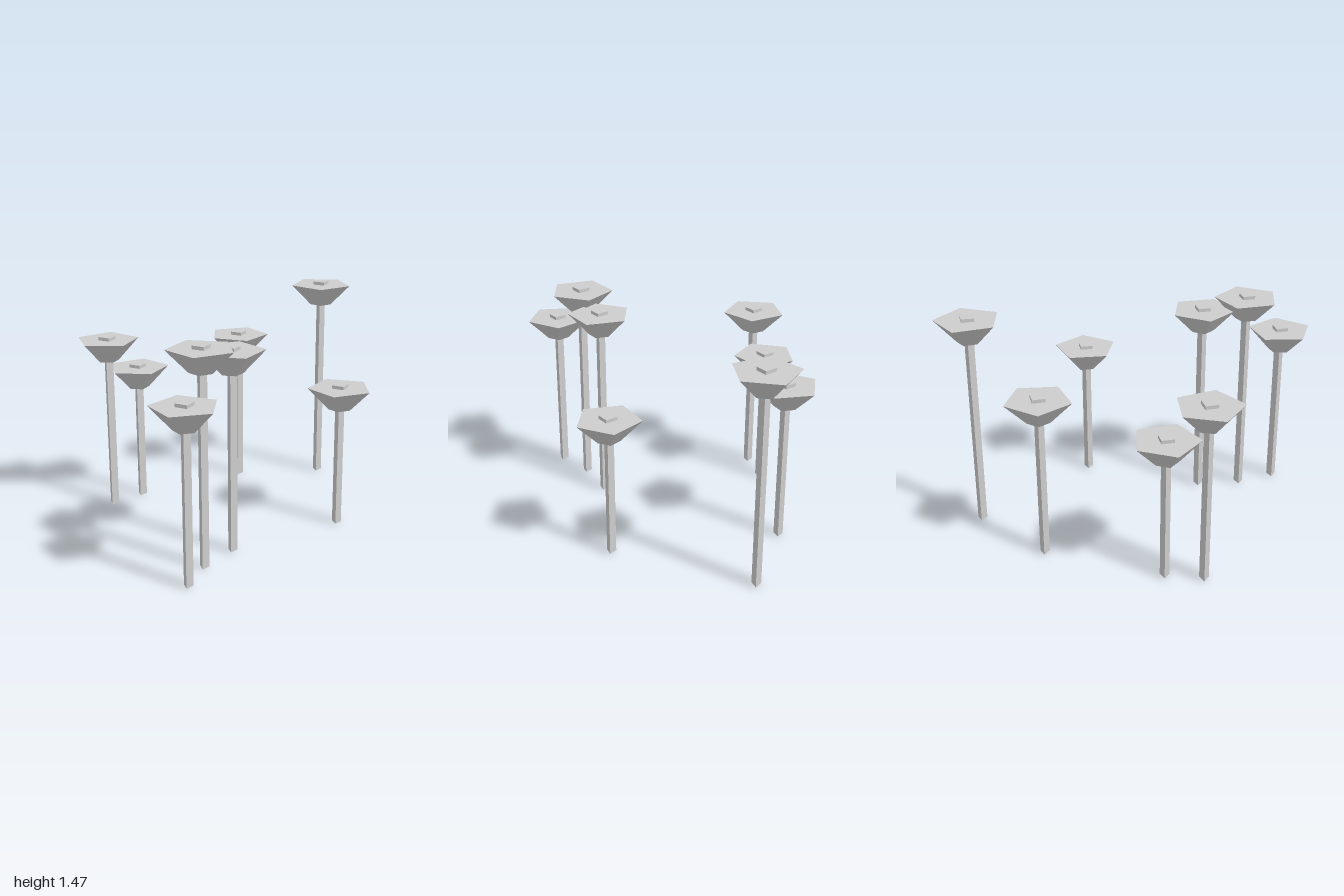
import * as THREE from 'three';

// x, z, rim height, turn of the head in degrees
const POSTS = [
  [-0.81, -0.56, 1.195, 18],
  [-0.585, -0.66, 0.957, 12.5],
  [0.205, -0.83, 1.09, 0],
  [0.80, -0.72, 1.443, 50.5],
  [0.565, 0.235, 0.957, 38.7],
  [-0.238, 0.435, 1.33, 6],
  [-0.475, 0.608, 1.404, 44.7],
  [-0.635, 0.82, 1.135, 33],
];
const HEAD_HEIGHT = 0.145, CAP_HEIGHT = 0.022;

export function createModel() {
  const grey = new THREE.MeshStandardMaterial({ color: 0xcccccc, flatShading: true });
  grey.name = 'grey';

  const model = new THREE.Group();
  model.name = 'postCluster';

  // low-poly prism or frustum standing on y
  const prism = (name, rTop, rBottom, height, sides, start, y) => {
    const mesh = new THREE.Mesh(
      new THREE.CylinderGeometry(rTop, rBottom, height, sides, 1, false, start), grey);
    mesh.name = name;
    mesh.position.y = y + height / 2;
    return mesh;
  };

  POSTS.forEach(([x, z, rim, turn], i) => {
    const post = new THREE.Group();
    post.name = `post${i + 1}`;
    post.position.set(x, 0, z);
    const base = rim - HEAD_HEIGHT;
    post.add(
      // three-sided stem with one corner toward +x
      prism('stem', 0.035, 0.035, base, 3, Math.PI / 2, 0),
      // five-sided flared head
      prism('head', 0.215, 0.075, HEAD_HEIGHT, 5, THREE.MathUtils.degToRad(turn), base),
      // square cap set cornerwise
      prism('cap', 0.058, 0.058, CAP_HEIGHT, 4, 0, rim),
    );
    model.add(post);
  });
  return model;
}
